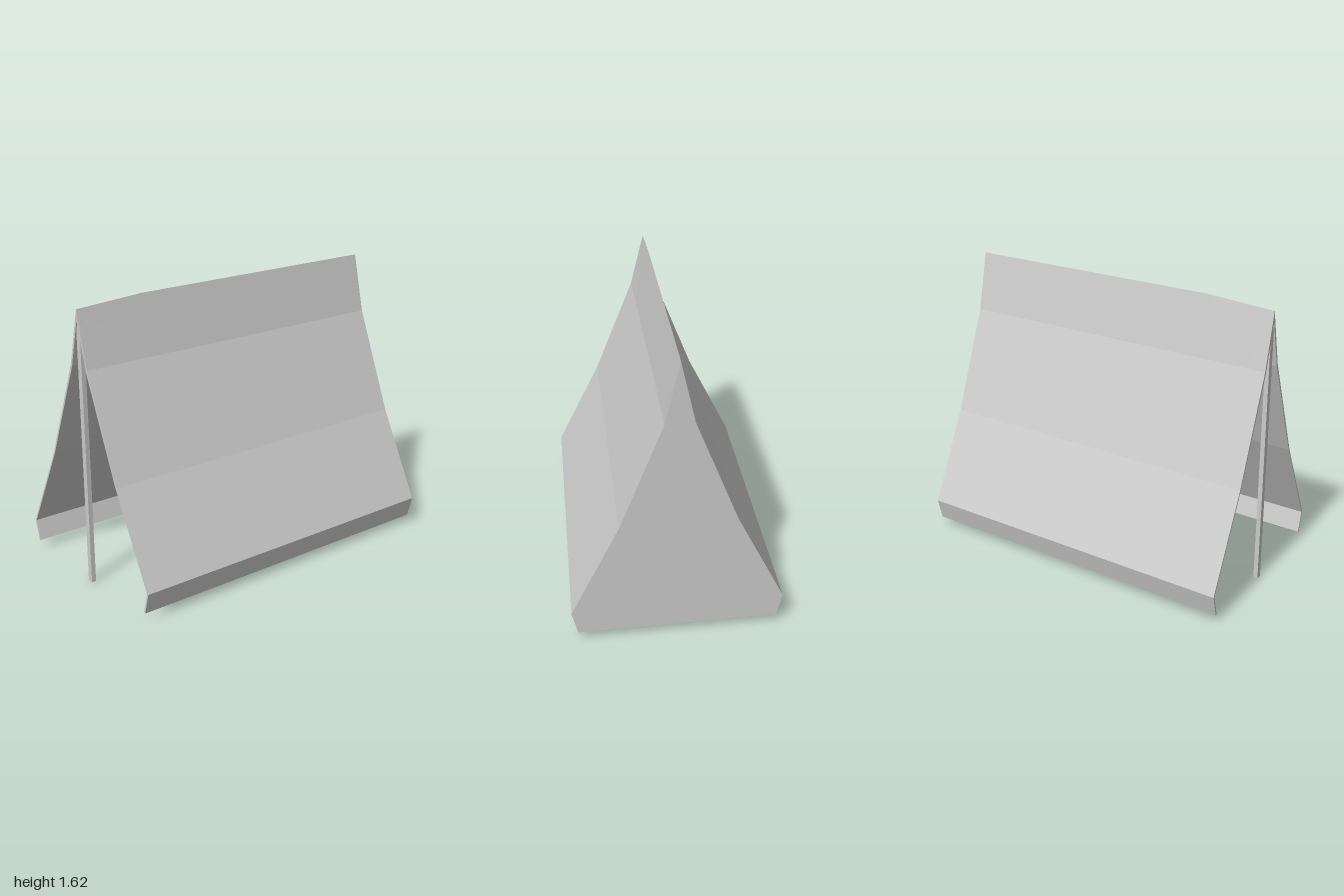
import * as THREE from 'three';

// Half profiles [half width, height], from the hem up to the ridge
const OUTER = [[0.545, 0.045], [0.578, 0.172], [0.315, 0.69], [0.078, 1.28], [0, 1.62]];
const INNER = [[0.535, 0.05], [0.567, 0.172], [0.304, 0.69], [0.067, 1.27], [0, 1.56]];
const FRONT = 0.985, DIP = 0.58, BACK = -0.985, CLOTH = 0.012;

// The whole tent stands slightly skewed in plan
const SKEW = new THREE.Matrix4().set(
  1, 0, -0.0185, 0,
  0, 1, 0, 0,
  -0.0225, 0, 1, 0,
  0, 0, 0, 1
);

// Full cross-section at depth z: left hem, ridge, right hem
function section(half, z, ridgeDrop = 0) {
  const left = half.map(([x, y], i) => [-x, i === 4 ? y - ridgeDrop : y, z]);
  const right = left.slice(0, 4).reverse().map(([x, y]) => [-x, y, z]);
  return [...left, ...right];
}

function canvasGeometry() {
  const positions = [];
  const tri = (a, b, c) => positions.push(...a, ...b, ...c);
  const quad = (a, b, c, d) => { tri(a, b, c); tri(a, c, d); };

  // Lining from back to front, over the front rim, outer skin from front to back
  const rows = [
    section(INNER, BACK + CLOTH), section(INNER, DIP), section(INNER, FRONT, 0.025),
    section(OUTER, FRONT, 0.025), section(OUTER, DIP), section(OUTER, BACK),
  ];
  for (let r = 0; r < 5; r++)
    for (let k = 0; k < 8; k++)
      quad(rows[r][k], rows[r][k + 1], rows[r + 1][k + 1], rows[r + 1][k]);

  // Hem undersides
  for (let r = 0; r < 2; r++) {
    const hem = (k) => [rows[r][k], rows[r + 1][k], rows[4 - r][k], rows[5 - r][k]];
    quad(...hem(0));
    quad(...hem(8).reverse());
  }

  // Back wall, both faces, and its lower edge
  const inside = rows[0], outside = rows[5];
  for (let k = 0; k < 3; k++) {
    quad(outside[k], outside[k + 1], outside[7 - k], outside[8 - k]);
    quad(inside[8 - k], inside[7 - k], inside[k + 1], inside[k]);
  }
  tri(outside[3], outside[4], outside[5]);
  tri(inside[5], inside[4], inside[3]);
  quad(outside[0], outside[8], inside[8], inside[0]);

  const geometry = new THREE.BufferGeometry();
  geometry.setAttribute('position', new THREE.Float32BufferAttribute(positions, 3));
  geometry.applyMatrix4(SKEW);
  geometry.computeVertexNormals();
  return geometry;
}

export function createModel() {
  const material = new THREE.MeshStandardMaterial({ color: 0xcccccc, flatShading: true });
  const tent = new THREE.Group();
  tent.name = 'tent';

  const canvas = new THREE.Mesh(canvasGeometry(), material);
  canvas.name = 'canvas';

  // Upright pole just inside the open front
  const poleGeometry = new THREE.BoxGeometry(0.033, 1.53, 0.026);
  poleGeometry.translate(0, 0.765, 0.966).applyMatrix4(SKEW);
  const pole = new THREE.Mesh(poleGeometry, material);
  pole.name = 'frontPole';

  tent.add(canvas, pole);
  return tent;
}
